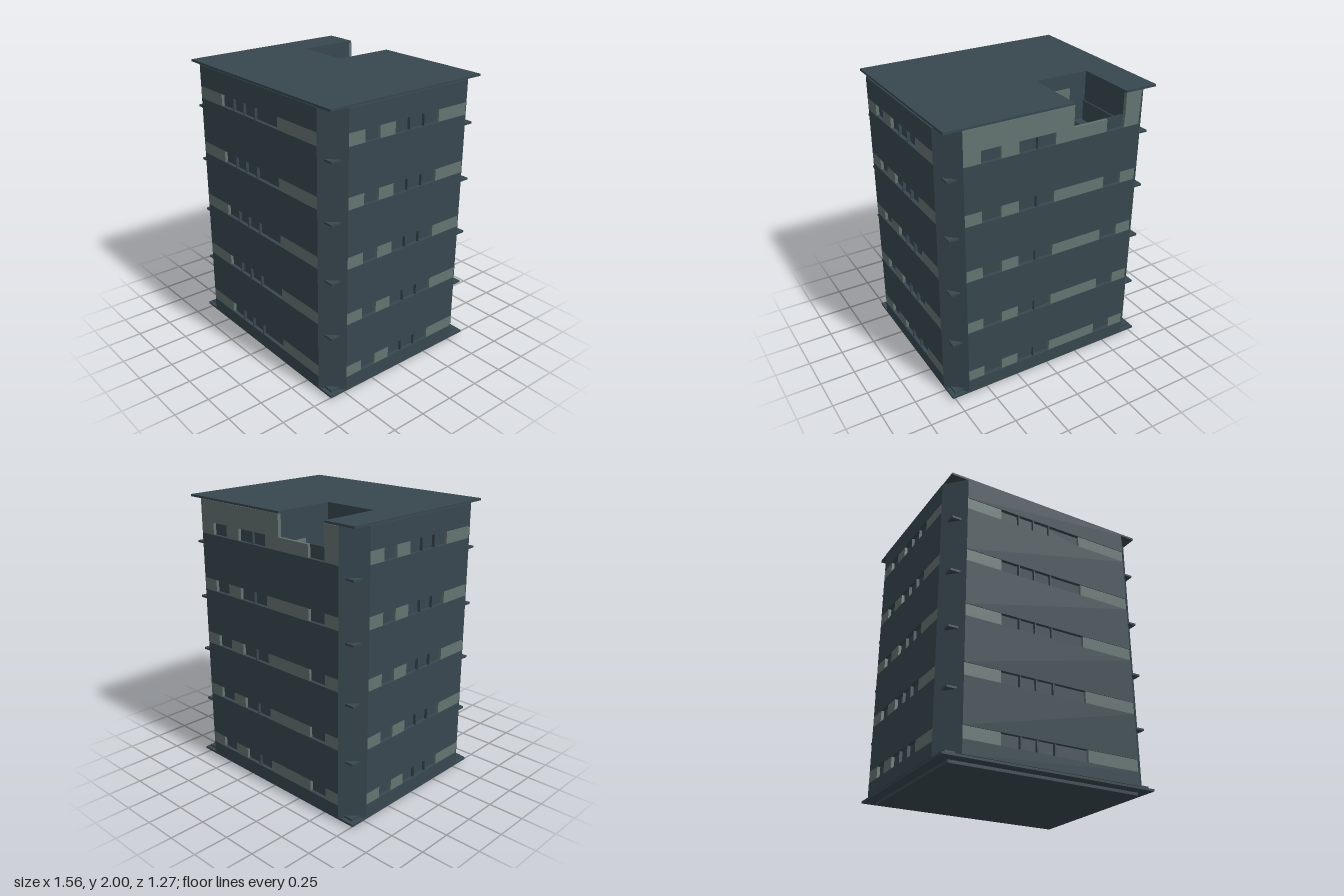
import * as THREE from 'three';

const mat = (name, color) => {
  const m = new THREE.MeshStandardMaterial({ color });
  m.name = name;
  return m;
};

export function createModel() {
  const wall = mat('slate wall', 0x37474f);
  const light = mat('pale grey panel', 0x637371);
  const dark = mat('dark slate', 0x263238);
  const model = new THREE.Group();

  const add = (parent, name, geo, m, x = 0, y = 0, z = 0) => {
    const mesh = new THREE.Mesh(geo, m);
    mesh.name = name;
    mesh.position.set(x, y, z);
    parent.add(mesh);
    return mesh;
  };
  // box given by its limits
  const block = (parent, name, m, x0, x1, y0, y1, z0, z1) =>
    add(parent, name, new THREE.BoxGeometry(x1 - x0, y1 - y0, z1 - z0), m,
      (x0 + x1) / 2, (y0 + y1) / 2, (z0 + z1) / 2);
  // plan outline of [x, z] points raised from y0 to y1
  const slab = (name, m, pts, y0, y1) => {
    const shape = new THREE.Shape(pts.map(([x, z]) => new THREE.Vector2(x, -z)));
    const geo = new THREE.ExtrudeGeometry(shape, { depth: y1 - y0, bevelEnabled: false });
    geo.rotateX(-Math.PI / 2);
    return add(model, name, geo, m, 0, y0, 0);
  };

  const FLOOR = 0.405, FLOORS = 5, TOP = 1.985;
  const bandLow = i => 0.13 + i * FLOOR, bandHigh = i => 0.215 + i * FLOOR;
  const notch = z => [[-0.13, z], [-0.13, -0.19], [-0.53, -0.19], [-0.53, z]];

  // base and ground plate
  block(model, 'base', wall, -0.7, 0.7, 0, 0.02, -0.55, 0.55);
  block(model, 'groundPlate', wall, -0.775, 0.775, 0.02, 0.035, -0.628, 0.628);

  // core with chamfered corners, its top storey notched for the roof well
  const frontHalf = [[-0.755, 0.5], [-0.78, 0.5], [-0.65, 0.635], [-0.65, 0.61],
    [0.65, 0.61], [0.65, 0.635], [0.78, 0.5], [0.755, 0.5]];
  const backHalf = frontHalf.map(([x, z]) => [-x, -z]);
  slab('core', wall, [...frontHalf, ...backHalf], 0.035, 1.66);
  slab('topCore', wall,
    [...frontHalf, ...backHalf.slice(0, 4), ...notch(-0.61), ...backHalf.slice(4)], 1.66, TOP);

  // flat roof, open over the well
  slab('roof', wall, [[-0.77, 0.63], [0.77, 0.63], [0.77, -0.63],
    ...notch(-0.63), [-0.77, -0.63]], TOP, 2);

  // facades: wall bands, pale panels and window mullions
  const side = { half: 0.5, d: 0.78, mullions: [0, 0.125],
    panels: [[-0.5, -0.37], [-0.25, -0.125], [0.25, 0.5]] };
  const facades = [
    { name: 'frontFacade', turn: 0, half: 0.65, d: 0.635, mullions: [-0.25, -0.13, 0],
      panels: [[-0.65, -0.39], [0.25, 0.65]] },
    { name: 'backFacade', turn: Math.PI, half: 0.65, d: 0.635, mullions: [-0.13],
      panels: [[-0.65, -0.53], [-0.39, -0.265], [0, 0.39], [0.53, 0.65]] },
    { name: 'leftFacade', turn: Math.PI / 2, ...side },
    { name: 'rightFacade', turn: -Math.PI / 2, ...side },
  ];
  for (const f of facades) {
    const g = new THREE.Group();
    g.name = f.name;
    g.rotation.y = f.turn;
    model.add(g);
    const back = f.d - 0.025;
    for (let i = 0; i <= FLOORS; i++) {
      const y0 = i ? bandHigh(i - 1) : 0.035;
      const y1 = i < FLOORS ? bandLow(i) : TOP;
      if (i === FLOORS && f.name === 'backFacade') {
        // pale top band beside the well
        block(g, 'topBand', light, -0.65, 0.13, y0, y1, back, f.d);
        block(g, 'topBand', light, 0.53, 0.65, y0, y1, back, f.d);
        block(g, 'wellPane', wall, 0.39, 0.53, bandLow(4), y0, back - 0.005, back);
      } else {
        block(g, 'wallBand', wall, -f.half, f.half, y0, y1, back, f.d);
      }
      if (i === FLOORS) continue;
      for (const [a, b] of f.panels)
        block(g, 'palePanel', light, a, b, y1, bandHigh(i), back, f.d - 0.004);
      for (const u of f.mullions)
        block(g, 'mullion', wall, u - 0.005, u + 0.005, y1, bandHigh(i), back, f.d - 0.004);
    }
  }

  // triangular ledges on the chamfered corners
  for (const sx of [-1, 1]) for (const sz of [-1, 1])
    for (let i = 0; i < FLOORS; i++) {
      const y = 0.04 + i * FLOOR;
      slab('cornerLedge', wall, [[0.67, 0.605], [0.748, 0.605], [0.748, 0.525]]
        .map(([x, z]) => [x * sx, z * sz]), y, y + 0.014);
    }

  // roof well: hatch, side rails and inner panel
  block(model, 'hatch', dark, -0.43, -0.23, 1.66, 1.668, -0.59, -0.23);
  for (const z of [-0.43, -0.38])
    block(model, 'hatchBar', wall, -0.43, -0.23, 1.668, 1.674, z - 0.004, z + 0.004);
  for (const z of [-0.52, -0.3])
    block(model, 'hatchHandle', wall, -0.35, -0.31, 1.668, 1.68, z - 0.004, z + 0.004);
  block(model, 'wellRail', wall, -0.515, -0.505, 1.66, 1.8, -0.58, -0.21);
  block(model, 'wellRail', light, -0.155, -0.145, 1.66, 1.8, -0.59, -0.42);
  block(model, 'wellPanel', light, -0.4, -0.2, 1.7, 1.9, -0.196, -0.19);
  return model;
}
